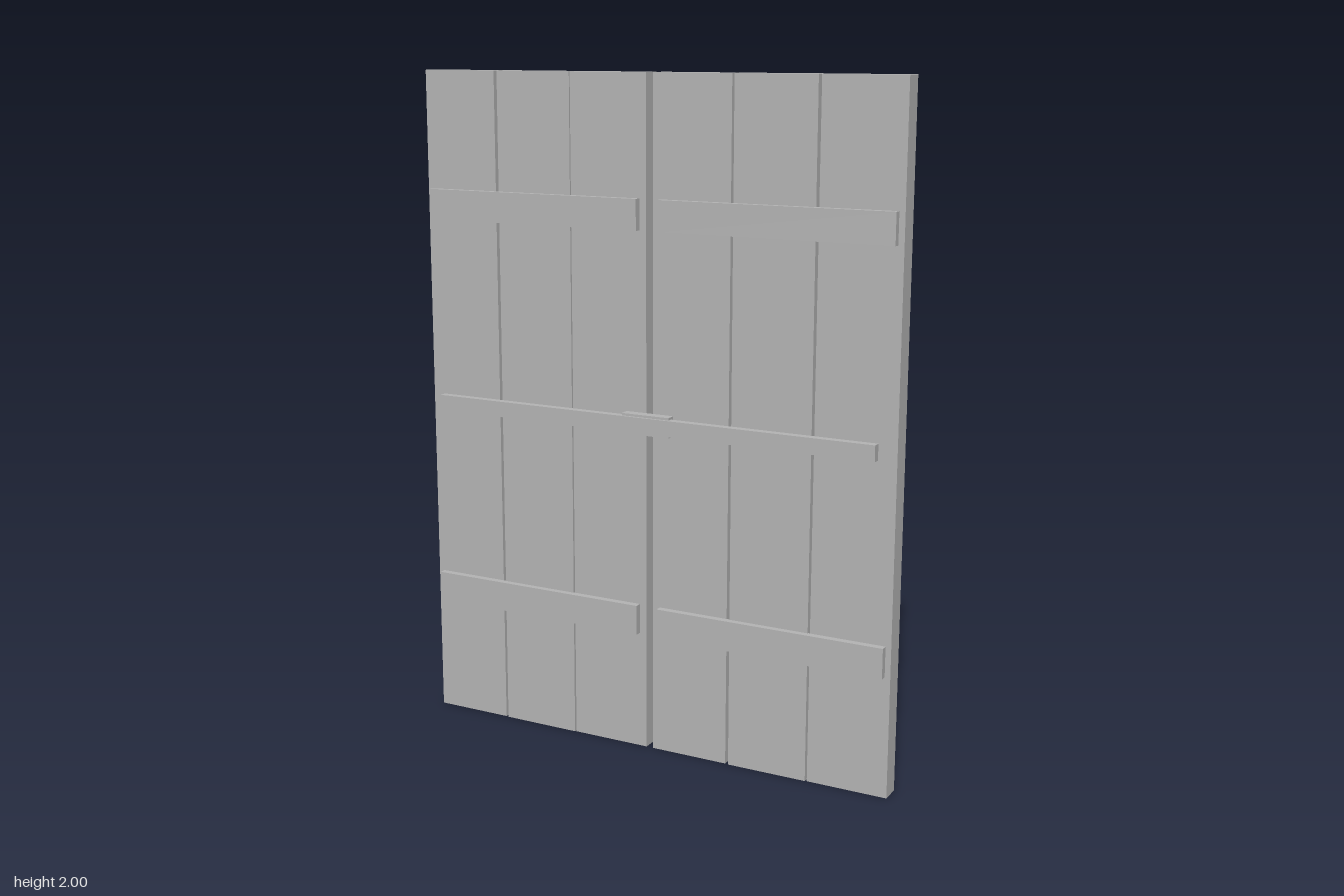
import * as THREE from 'three';

export function createModel() {
  const model = new THREE.Group();
  model.name = 'plankDoubleDoor';
  const grey = new THREE.MeshStandardMaterial({ color: 0xb3b3b3 });
  grey.name = 'plain grey';

  // Box given by its extents on each axis
  function slab(name, [x0, x1], [y0, y1], [z0, z1], parent) {
    const mesh = new THREE.Mesh(new THREE.BoxGeometry(x1 - x0, y1 - y0, z1 - z0), grey);
    mesh.position.set((x0 + x1) / 2, (y0 + y1) / 2, (z0 + z1) / 2);
    mesh.name = name;
    parent.add(mesh);
    return mesh;
  }

  // Each leaf: three upright planks, very slightly crooked, and two cross braces
  const leaves = [
    { name: 'rightLeaf', brace: [-0.738, -0.035],
      planks: [[-0.756, -0.516, 0.0005], [-0.506, -0.262, -0.001], [-0.259, -0.013, 0.0003]] },
    { name: 'leftLeaf', brace: [0.032, 0.738],
      planks: [[0.009, 0.251, -0.0004], [0.26, 0.505, 0.001], [0.512, 0.755, -0.0005]] },
  ];
  for (const { name, brace, planks } of leaves) {
    const leaf = new THREE.Group();
    leaf.name = name;
    planks.forEach(([x0, x1, tilt], i) => {
      const dz = (i % 2) * 0.002;
      const plank = slab('plank' + (i + 1), [x0, x1], [0.001, 1.999], [-0.05 + dz, 0.011 + dz], leaf);
      plank.rotation.z = tilt;
    });
    slab('lowerBrace', brace, [0.36, 0.45], [0.01, 0.032], leaf);
    slab('upperBrace', brace, [1.56, 1.65], [0.01, 0.032], leaf);
    model.add(leaf);
  }

  // Locking bar across both leaves, with its central bracket
  slab('lockingBar', [-0.707, 0.705], [0.979, 1.026], [0.026, 0.05], model);
  slab('barBracket', [-0.077, 0.075], [0.973, 1.033], [0.012, 0.042], model);

  return model;
}
